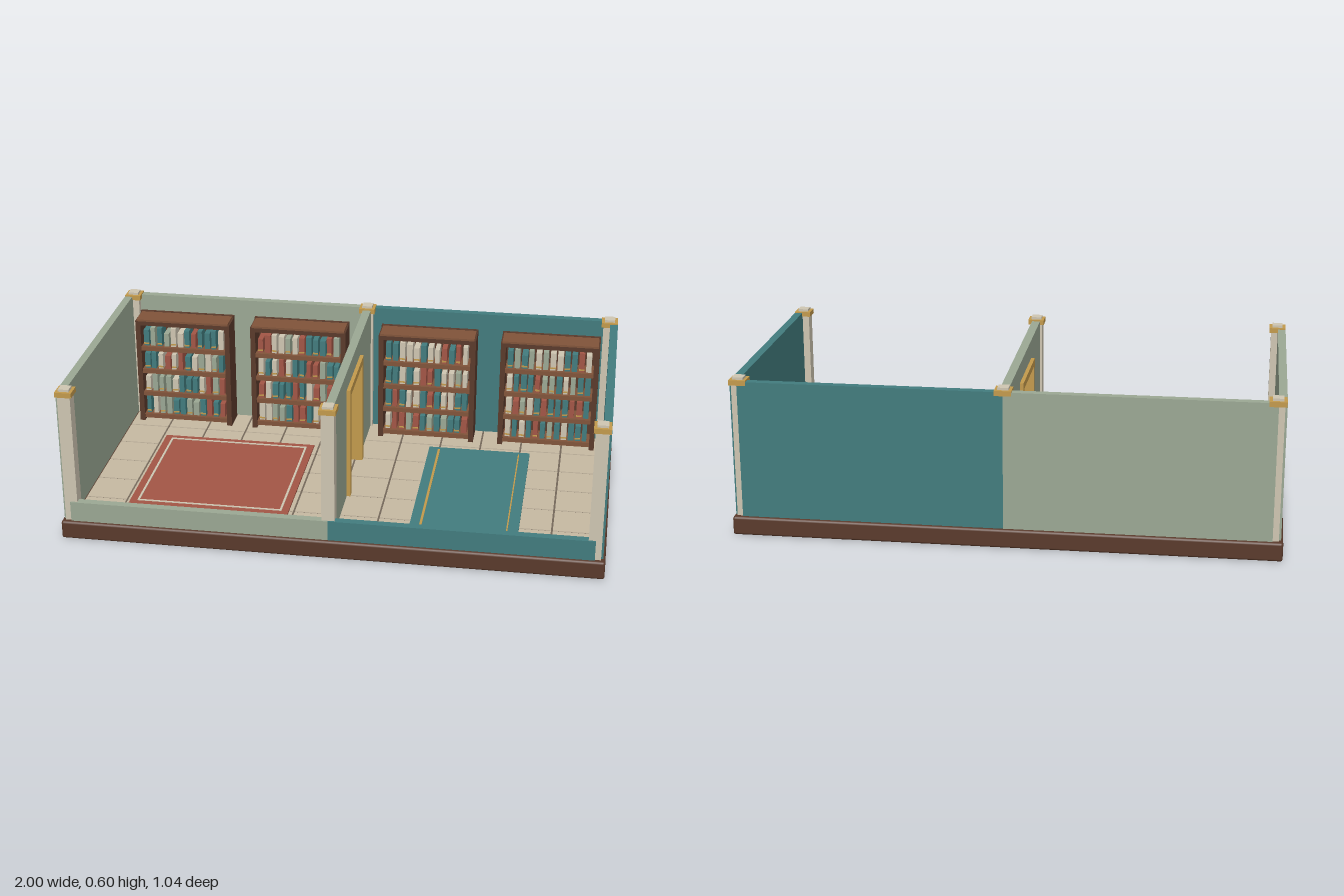
import * as THREE from 'three';
import { RoundedBoxGeometry } from 'three/addons/geometries/RoundedBoxGeometry.js';

const mat = (name, color) => {
  const m = new THREE.MeshStandardMaterial({ color });
  m.name = name;
  return m;
};

const FLOOR = 0.075, WALL_TOP = 0.586;

export function createModel() {
  const sage = mat('sage', 0x9ba894);
  const teal = mat('teal', 0x427c7e);
  const darkWood = mat('dark wood', 0x5a3a2b);
  const wood = mat('wood', 0x81543a);
  const stone = mat('stone tile', 0xc6b9a2);
  const cream = mat('cream', 0xcfc6b2);
  const grout = mat('grout', 0x75685a);
  const gold = mat('gold', 0xc39a4c);
  const red = mat('red', 0xa35646);

  const root = new THREE.Group();
  root.name = 'libraryRooms';

  // box given by its min and max on each axis
  const box = (parent, name, material, x0, x1, y0, y1, z0, z1) => {
    const m = new THREE.Mesh(new THREE.BoxGeometry(x1 - x0, y1 - y0, z1 - z0), material);
    m.position.set((x0 + x1) / 2, (y0 + y1) / 2, (z0 + z1) / 2);
    m.name = name;
    parent.add(m);
    return m;
  };
  const group = (name, parent = root) => {
    const g = new THREE.Group();
    g.name = name;
    parent.add(g);
    return g;
  };

  // plinth
  const base = new THREE.Mesh(new RoundedBoxGeometry(2, 0.07, 1.037, 2, 0.009), darkWood);
  base.position.y = 0.035;
  base.name = 'base';
  root.add(base);

  // tiled floor
  const floor = group('floor');
  box(floor, 'grout', grout, -0.96, 0.96, 0.066, 0.0715, -0.48, 0.48);
  for (let i = 0; i < 12; i++) {
    for (let j = 0; j < 6; j++) {
      const x = -0.96 + i * 0.16, z = -0.48 + j * 0.16, g = 0.0035;
      box(floor, 'tile', stone, x + g, x + 0.16 - g, 0.068, FLOOR, z + g, z + 0.16 - g);
    }
  }

  // outer walls: full height at back and sides, low at the front
  const walls = group('walls');
  for (const [s, m] of [[-1, sage], [1, teal]]) {
    const a = Math.min(0, s * 0.962), b = Math.max(0, s * 0.962);
    box(walls, 'backWall', m, a, b, FLOOR - 0.003, WALL_TOP, -0.51, -0.48);
    box(walls, 'frontLowWall', m, a, b, FLOOR - 0.003, 0.149, 0.48, 0.51);
    box(walls, 'sideWall', m, Math.min(s * 0.962, s * 0.992), Math.max(s * 0.962, s * 0.992),
      FLOOR - 0.003, WALL_TOP, -0.494, 0.494);
  }

  // dividing wall with doorway
  const divider = group('dividingWall');
  for (const s of [-1, 1]) {
    box(divider, 'dividerSide', sage, -0.016, 0.016, FLOOR, WALL_TOP,
      Math.min(s * 0.15, s * 0.48), Math.max(s * 0.15, s * 0.48));
    box(divider, 'doorJamb', gold, -0.03, 0.03, FLOOR, 0.49,
      Math.min(s * 0.14, s * 0.168), Math.max(s * 0.14, s * 0.168));
  }
  box(divider, 'dividerLintel', sage, -0.016, 0.016, 0.5, WALL_TOP, -0.15, 0.15);
  box(divider, 'doorHead', gold, -0.03, 0.03, 0.488, 0.515, -0.168, 0.168);

  // pillars with stepped caps
  for (const x of [-0.96, 0, 0.96]) {
    for (const z of [-0.48, 0.48]) {
      const p = group('pillar');
      box(p, 'shaft', cream, x - 0.024, x + 0.024, FLOOR - 0.003, 0.573, z - 0.024, z + 0.024);
      box(p, 'cap', gold, x - 0.031, x + 0.031, 0.572, 0.591, z - 0.031, z + 0.031);
      box(p, 'finial', cream, x - 0.02, x + 0.02, 0.59, 0.6, z - 0.02, z + 0.02);
    }
  }

  // bookcases
  const bookColours = [teal, teal, cream, red, sage, teal, red, cream, sage, teal, cream, red];
  let seed = 7;
  const rand = () => (seed = (seed * 16807) % 2147483647) / 2147483647;
  const bookcase = (cx) => {
    const g = group('bookcase');
    const x0 = cx - 0.193, x1 = cx + 0.193, zb = -0.47, zf = -0.367;
    box(g, 'backPanel', darkWood, x0, x1, FLOOR, 0.525, zb, zb + 0.015);
    box(g, 'sidePanel', darkWood, x0, x0 + 0.02, FLOOR, 0.515, zb, zf);
    box(g, 'sidePanel', darkWood, x1 - 0.02, x1, FLOOR, 0.515, zb, zf);
    box(g, 'topRail', darkWood, x0, x1, 0.498, 0.517, zb, zf);
    box(g, 'topBoard', wood, x0 + 0.006, x1 - 0.006, 0.516, 0.524, zb + 0.015, zf + 0.002);
    for (let r = 0; r < 4; r++) {
      const y = 0.105 + r * 0.1;
      box(g, 'shelf', wood, x0 + 0.02, x1 - 0.02, y - 0.018, y, zb + 0.015, zf - 0.002);
      for (let i = 0; i < 12; i++) {
        const x = x0 + 0.028 + i * 0.028, w = 0.017 + rand() * 0.006;
        const h = 0.055 + rand() * 0.025, front = zf - 0.016;
        const m = bookColours[(i + r * 5 + Math.floor(rand() * 3)) % 12];
        box(g, 'book', m, x, x + w, y, y + h, zb + 0.02, front);
        if (i % 2 === 0) box(g, 'bookBand', gold, x, x + w, y + 0.007, y + 0.013, front, front + 0.002);
      }
    }
  };
  [-0.738, -0.266, 0.253, 0.737].forEach(bookcase);

  // red rug with a cream border line
  const redRug = group('redRug');
  box(redRug, 'rug', red, -0.785, -0.178, FLOOR - 0.002, 0.082, -0.23, 0.36);
  const t = 0.008, y0 = 0.0815, y1 = 0.0845;
  for (const x of [-0.757, -0.212]) box(redRug, 'borderLine', cream, x, x + t, y0, y1, -0.205, 0.335);
  for (const z of [-0.205, 0.327]) box(redRug, 'borderLine', cream, -0.757, -0.204, y0, y1, z, z + t);

  // teal rug with two stripes
  const tealRug = group('tealRug');
  box(tealRug, 'rug', teal, 0.28, 0.68, FLOOR - 0.002, 0.082, -0.288, 0.385);
  box(tealRug, 'stripe', gold, 0.316, 0.325, y0, y1, -0.265, 0.362);
  box(tealRug, 'stripe', gold, 0.635, 0.64, y0, y1, -0.265, 0.362);

  return root;
}
